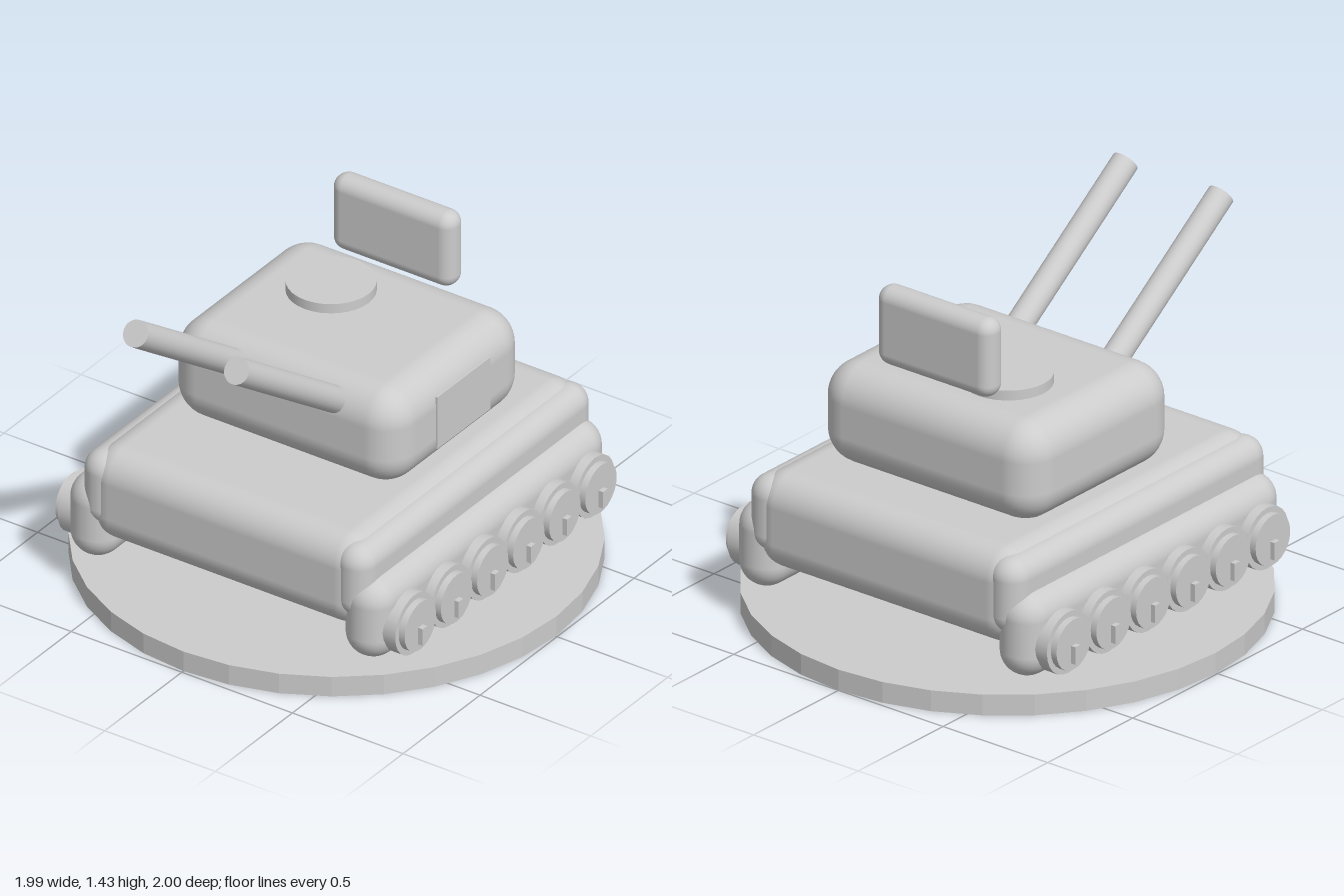
import * as THREE from 'three';
import { RoundedBoxGeometry } from 'three/addons/geometries/RoundedBoxGeometry.js';

const grey = new THREE.MeshStandardMaterial({ color: 0xcccccc });
grey.name = 'plain grey';

export function createModel() {
  const model = new THREE.Group();
  model.name = 'tankOnStand';

  function add(name, geometry, x, y, z, parent = model) {
    const mesh = new THREE.Mesh(geometry, grey);
    mesh.name = name;
    mesh.position.set(x, y, z);
    parent.add(mesh);
    return mesh;
  }
  const rounded = (w, h, d, r, segments = 5) => new RoundedBoxGeometry(w, h, d, segments, r);

  // Round stand
  const stand = new THREE.CylinderGeometry(0.995, 0.995, 0.085, 32).toNonIndexed();
  stand.computeVertexNormals();
  add('stand', stand, 0, 0.0425, -0.005);

  // Hull and turret
  add('hull', rounded(1.26, 0.39, 1.51, 0.12), 0, 0.43, -0.005);
  add('turret', rounded(1.045, 0.41, 0.875, 0.14), -0.003, 0.81, -0.075);
  add('hatch', new THREE.CylinderGeometry(0.17, 0.17, 0.06, 32), -0.15, 1.025, -0.185);
  add('sidePanel', new THREE.BoxGeometry(0.008, 0.225, 0.345), 0.521, 0.812, -0.078);

  // Upright plate floating behind the hatch
  add('rearPlate', rounded(0.55, 0.32, 0.112, 0.054), -0.003, 1.22, -0.405);

  // Twin raised guns, running from inside the turret to the muzzle
  const breech = new THREE.Vector3(0, 0.84, 0.2);
  const muzzle = new THREE.Vector3(0, 1.383, 0.97);
  const axis = muzzle.clone().sub(breech);
  for (const x of [-0.23, 0.227]) {
    const gun = add('gun', new THREE.CylinderGeometry(0.053, 0.053, axis.length(), 24),
      x, (breech.y + muzzle.y) / 2, (breech.z + muzzle.z) / 2);
    gun.quaternion.setFromUnitVectors(new THREE.Vector3(0, 1, 0), axis.clone().normalize());
  }

  // Running gear, the same on both sides
  const rim = new THREE.CylinderGeometry(0.125, 0.125, 0.16, 24).rotateZ(Math.PI / 2);
  const hub = new THREE.CylinderGeometry(0.102, 0.102, 0.1, 24).rotateZ(Math.PI / 2);
  const pin = new THREE.BoxGeometry(0.07, 0.072, 0.03);
  for (const side of [-1, 1]) {
    const gear = new THREE.Group();
    gear.name = side > 0 ? 'leftRunningGear' : 'rightRunningGear';
    model.add(gear);
    add('track', rounded(0.205, 0.345, 1.51, 0.102), side * 0.622, 0.303, -0.002, gear);
    add('fender', rounded(0.162, 0.31, 1.51, 0.08), side * 0.571, 0.45, -0.005, gear);
    for (let i = 0; i < 6; i++) {
      const z = 0.585 - i * 0.2345;
      add('wheelRim', rim, side * 0.683, 0.272, z, gear);
      add('wheelHub', hub, side * 0.74, 0.272, z, gear);
      add('wheelPin', pin, side * 0.775, 0.235, z, gear);
    }
  }
  return model;
}
